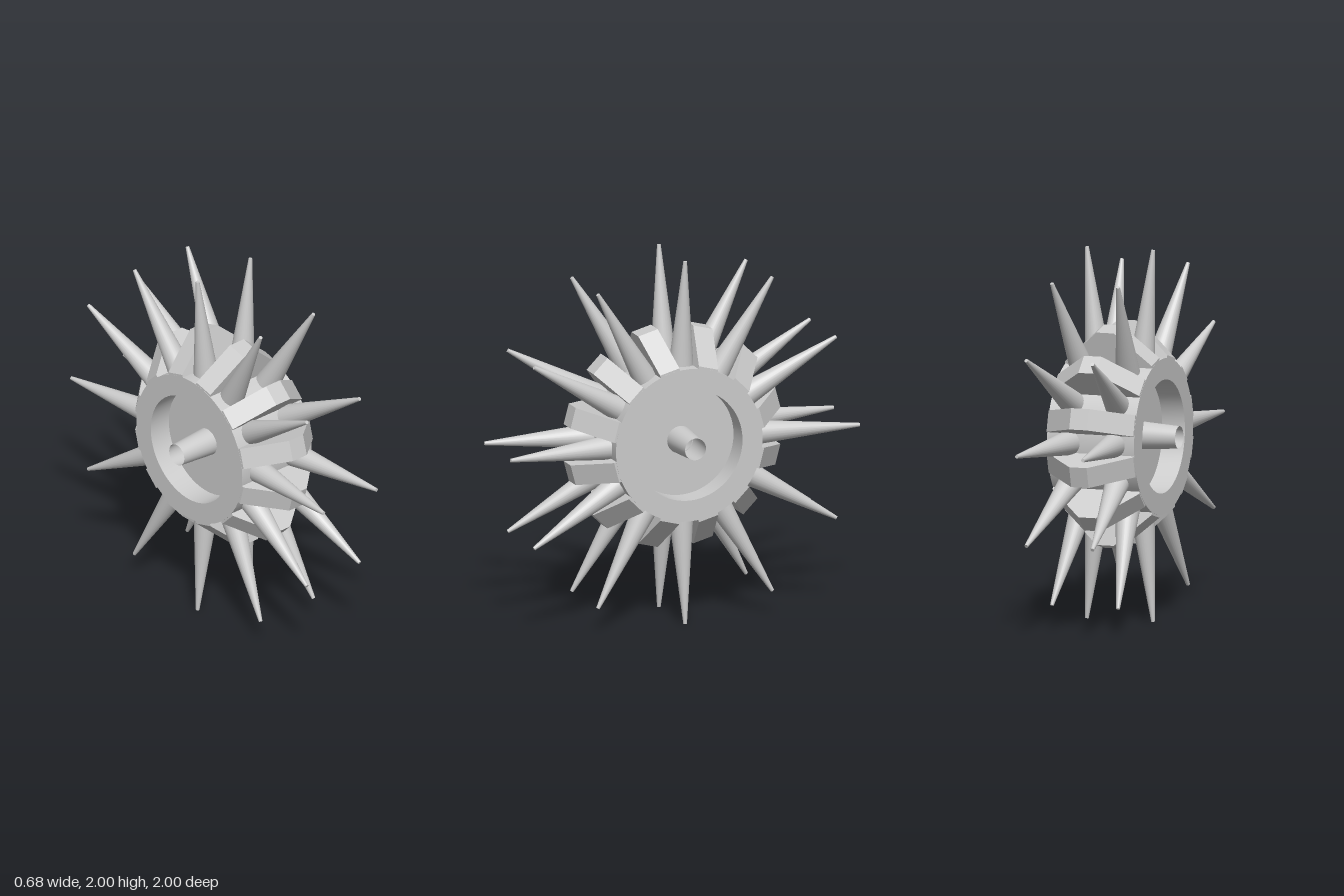
import * as THREE from 'three';
import { toCreasedNormals } from 'three/addons/utils/BufferGeometryUtils.js';

const COUNT = 12;
const grey = new THREE.MeshStandardMaterial({ color: 0xcccccc });
const greyOpen = new THREE.MeshStandardMaterial({ color: 0xcccccc, side: THREE.DoubleSide });

// Solid of revolution about the x axis; profile is [radius, x] pairs
function turned(name, profile, material, segments) {
  const points = profile.map(([r, x]) => new THREE.Vector2(r, x));
  const geometry = toCreasedNormals(new THREE.LatheGeometry(points, segments), 0.5);
  geometry.rotateZ(-Math.PI / 2);
  const mesh = new THREE.Mesh(geometry, material);
  mesh.name = name;
  return mesh;
}

export function createModel() {
  const wheel = new THREE.Group();
  wheel.name = 'spikedWheel';
  wheel.position.y = 1;

  // Drum with a dished recess on both sides
  wheel.add(turned('drum', [
    [0.07, -0.12], [0.305, -0.12], [0.305, -0.25], [0.42, -0.25],
    [0.42, 0.25], [0.305, 0.25], [0.305, 0.12], [0.07, 0.12],
  ], grey, 64));

  // Hollow axle, narrowing towards both ends
  wheel.add(turned('axle', [
    [0.06, -0.34], [0.075, -0.12], [0.075, 0.12], [0.06, 0.34],
  ], greyOpen, 32));

  // Tread block: trapezoid across the drum
  const outline = new THREE.Shape([
    [-0.249, 0.37], [0.249, 0.37], [0.249, 0.43],
    [0.05, 0.607], [-0.05, 0.607], [-0.249, 0.43],
  ].map(([x, r]) => new THREE.Vector2(x, r)));
  const treadGeometry = new THREE.ExtrudeGeometry(outline, { depth: 0.115, bevelEnabled: false });
  treadGeometry.translate(0, 0, -0.0575);

  // Spike: blunt cone leaning outwards
  const spikeGeometry = new THREE.CylinderGeometry(0.01, 0.07, 0.623, 24);

  for (let i = 0; i < COUNT; i++) {
    const angle = (i / COUNT) * Math.PI * 2;

    const tread = new THREE.Mesh(treadGeometry, grey);
    tread.name = 'tread';
    tread.rotation.x = angle + Math.PI / COUNT;
    wheel.add(tread);

    const spikePair = new THREE.Group();
    spikePair.name = 'spikePair';
    spikePair.rotation.x = angle;
    for (const side of [-1, 1]) {
      const spike = new THREE.Mesh(spikeGeometry, grey);
      spike.name = side > 0 ? 'leftSpike' : 'rightSpike';
      spike.position.set(side * 0.158, 0.69, 0);
      spike.rotation.z = -side * Math.atan2(0.06, 0.58);
      spikePair.add(spike);
    }
    wheel.add(spikePair);
  }

  const model = new THREE.Group();
  model.add(wheel);
  return model;
}
